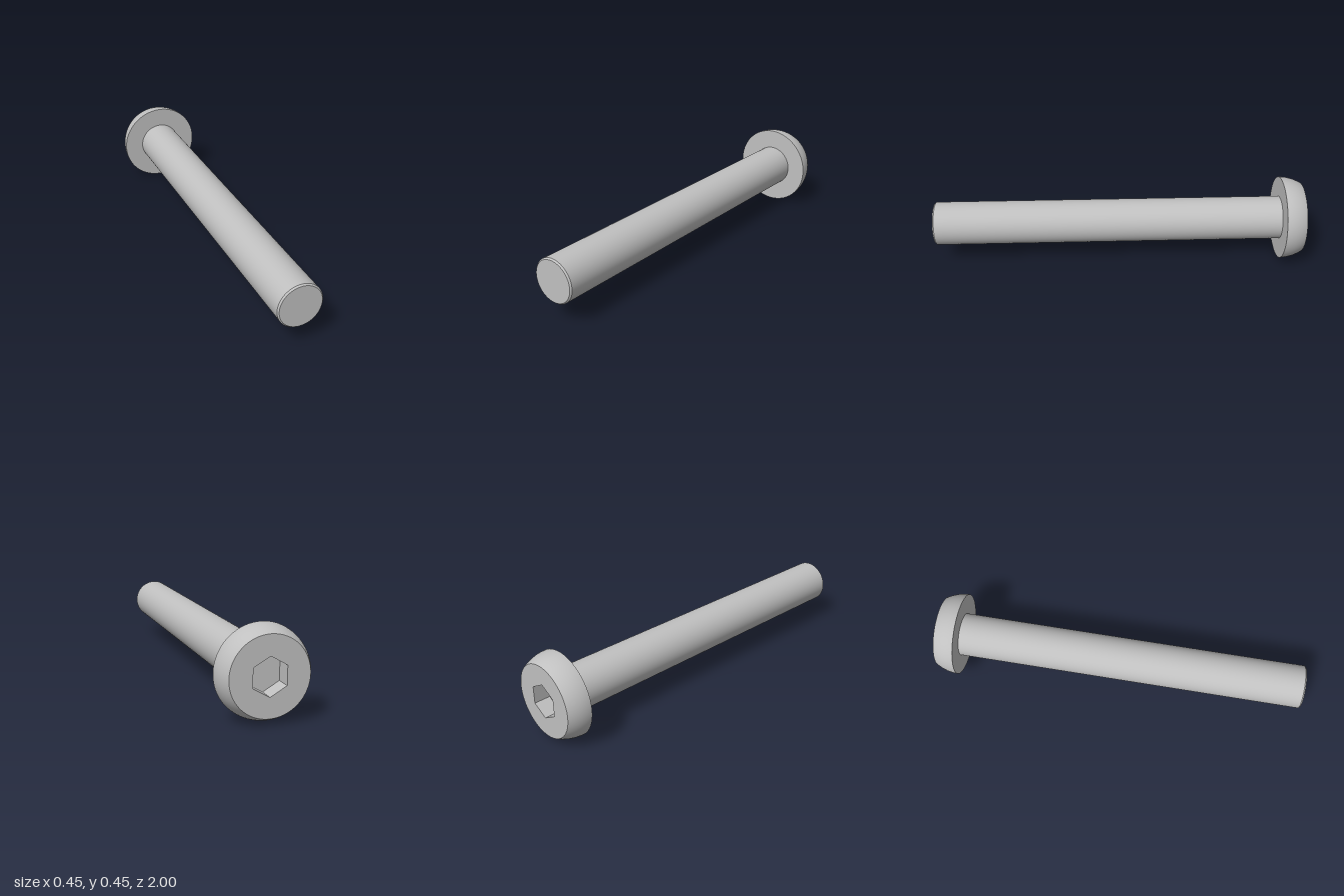
import * as THREE from 'three';

const AXIS_Y = 0.2235, SEGMENTS = 96;
const HEAD_R = 0.2235, FACE_R = 0.191, SHAFT_R = 0.117, TIP_R = 0.11;
const BACK = -1, SEAT = -0.885, FRONT = 1, CHAMFER = 0.008;
const HEX_R = 0.0925, HEX_DEPTH = 0.085;

export function createModel() {
  const model = new THREE.Group();
  const steel = new THREE.MeshStandardMaterial({ color: 0xc0c0c0 });
  steel.name = 'steel grey';

  const add = (name, geometry) => {
    const mesh = new THREE.Mesh(geometry, steel);
    mesh.name = name;
    mesh.position.y = AXIS_Y;
    model.add(mesh);
  };

  // Revolve a list of [radius, z] around the z axis
  const revolve = (profile) => new THREE.LatheGeometry(
    profile.map(([r, z]) => new THREE.Vector2(r, z)), SEGMENTS).rotateX(Math.PI / 2);

  // Domed side of the head: part of a sphere centred on the seat plane
  const dome = [];
  const sweep = Math.acos(FACE_R / HEAD_R);
  const depth = SEAT - BACK;
  for (let i = 0; i <= 16; i++) {
    const a = sweep * (1 - i / 16);
    dome.push([HEAD_R * Math.cos(a), SEAT - depth * Math.sin(a) / Math.sin(sweep)]);
  }
  add('headDome', revolve(dome));

  // Flat back of the head with a hexagonal opening
  const face = new THREE.Shape().absarc(0, 0, FACE_R, 0, Math.PI * 2);
  const hex = [];
  for (let i = 0; i < 6; i++) {
    const a = Math.PI / 2 - i * Math.PI / 3;
    hex.push(new THREE.Vector2(HEX_R * Math.cos(a), HEX_R * Math.sin(a)));
  }
  face.holes.push(new THREE.Path(hex));
  add('headFace', new THREE.ShapeGeometry(face, SEGMENTS / 2).rotateY(Math.PI).translate(0, 0, BACK));

  // Hex socket: inward-facing walls and a flat floor
  const walls = new THREE.CylinderGeometry(HEX_R, HEX_R, HEX_DEPTH, 6, 1, true).toNonIndexed();
  walls.scale(-1, 1, 1).rotateX(Math.PI / 2).translate(0, 0, BACK + HEX_DEPTH / 2);
  walls.computeVertexNormals();
  add('socketWalls', walls);
  add('socketFloor', new THREE.CircleGeometry(HEX_R, 6, Math.PI / 2)
    .rotateY(Math.PI).translate(0, 0, BACK + HEX_DEPTH));

  // Underside of the head, around the shaft
  add('headUnderside', new THREE.RingGeometry(SHAFT_R, HEAD_R, SEGMENTS).translate(0, 0, SEAT));

  // Shaft, chamfer and end cap
  add('shaft', revolve([[SHAFT_R, SEAT], [SHAFT_R, FRONT - CHAMFER]]));
  add('tipChamfer', revolve([[SHAFT_R, FRONT - CHAMFER], [TIP_R, FRONT]]));
  add('tipCap', new THREE.CircleGeometry(TIP_R, SEGMENTS).translate(0, 0, FRONT));

  return model;
}
